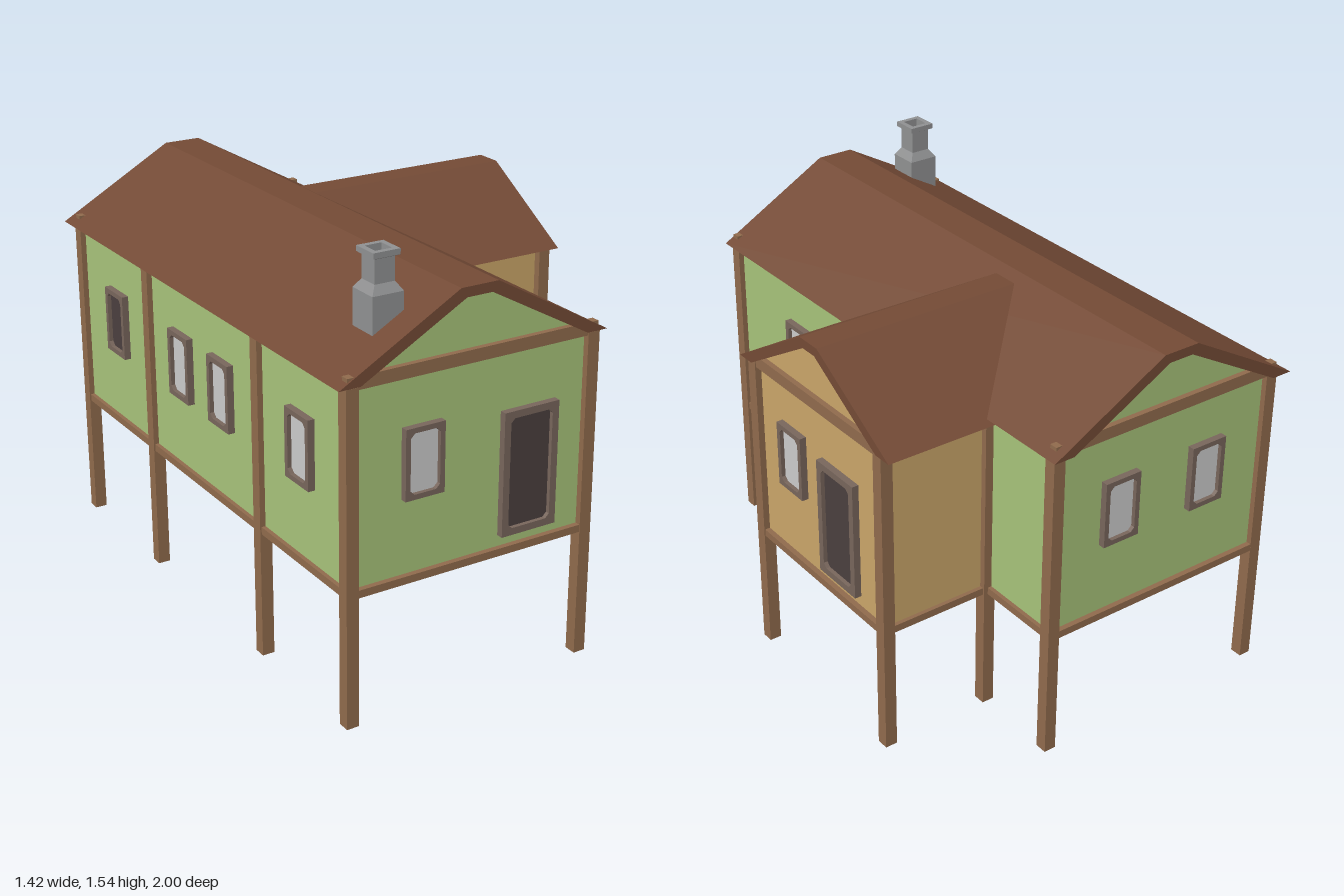
import * as THREE from 'three';

const mat = (name, color) => {
  const m = new THREE.MeshStandardMaterial({ color });
  m.name = name;
  return m;
};

export function createModel() {
  const green = mat('greenWall', 0xa6c279);
  const tan = mat('tanWall', 0xc9a568);
  const wood = mat('timber', 0x8f6a4c);
  const roofBrown = mat('roofBrown', 0x734a35);
  const frameBrown = mat('frameBrown', 0x77655b);
  const glass = mat('paleGlass', 0xcacaca);
  const dark = mat('darkPanel', 0x4a3f3e);
  const stone = mat('chimneyGrey', 0x8f9091);

  const house = new THREE.Group();
  house.name = 'stiltHouse';

  const add = (parent, name, geo, material, x = 0, y = 0, z = 0) => {
    const m = new THREE.Mesh(geo, material);
    m.name = name;
    m.position.set(x, y, z);
    parent.add(m);
    return m;
  };
  // box given by its minimum and maximum corners
  const box = (parent, name, material, [x0, x1], [y0, y1], [z0, z1]) =>
    add(parent, name, new THREE.BoxGeometry(x1 - x0, y1 - y0, z1 - z0), material,
      (x0 + x1) / 2, (y0 + y1) / 2, (z0 + z1) / 2);
  const shape = (pts) => new THREE.Shape(pts.map(([x, y]) => new THREE.Vector2(x, y)));
  // closed profile mirrored across x = 0, from right-hand points listed bottom to top
  const mirrored = (pts) => shape([...pts, ...[...pts].reverse().map(([x, y]) => [-x, y])]);
  const extrude = (s, depth) => new THREE.ExtrudeGeometry(s, { depth, bevelEnabled: false });

  // A gabled block running along its local z: walls, roof, floor and end trim
  function block(name, wallMat, o) {
    const g = new THREE.Group();
    g.name = name;
    const { half, eave, ridge, over, top, inner, back, front, roofBack, roofFront, ends, sideBeams } = o;
    const walls = mirrored([[half, 0.47], [half, eave + 0.004], [top * 0.85, ridge - 0.016]]);
    add(g, 'walls', extrude(walls, front - back), wallMat, 0, 0, back);
    // clipped-ridge roof shell with thick fascia
    const roof = shape([
      [over, eave], [top, ridge], [-top, ridge], [-over, eave], [-inner, eave],
      [-top * 0.68, ridge - 0.034], [top * 0.68, ridge - 0.034], [inner, eave],
    ]);
    add(g, 'roof', extrude(roof, roofFront - roofBack), roofBrown, 0, 0, roofBack);
    box(g, 'floor', wood, [-half, half], [0.464, 0.474], [back, front]);
    // beams across each visible gable end
    for (const [z, s] of ends) {
      const zs = [Math.min(z - 0.01 * s, z + 0.02 * s), Math.max(z - 0.01 * s, z + 0.02 * s)];
      box(g, 'floorBeam', wood, [-half, half], [0.463, 0.49], zs);
      box(g, 'gableBeam', wood, [-half - 0.015, half + 0.015], [eave - 0.012, eave + 0.032], zs);
    }
    // beams along the sides
    for (const [s, z0, z1] of sideBeams) {
      box(g, 'sideBeam', wood, [s * half - 0.015, s * half + 0.015], [0.463, 0.49], [z0, z1]);
    }
    house.add(g);
    return g;
  }

  const main = block('mainHouse', green, {
    half: 0.46, eave: 1.18, ridge: 1.425, over: 0.508, top: 0.07, inner: 0.43,
    back: -0.945, front: 0.973, roofBack: -1, roofFront: 0.999,
    ends: [[0.973, 1], [-0.945, -1]],
    sideBeams: [[-1, -0.94, 0.97], [1, 0.15, 0.97], [1, -0.94, -0.6]],
  });
  main.position.x = -0.2;

  const wing = block('sideWing', tan, {
    half: 0.375, eave: 1.165, ridge: 1.402, over: 0.448, top: 0.05, inner: 0.375,
    back: 0.1, front: 0.682, roofBack: -0.098, roofFront: 0.71,
    ends: [[0.682, 1]],
    sideBeams: [[-1, 0.27, 0.68], [1, 0.27, 0.68]],
  });
  wing.position.z = -0.23;
  wing.rotation.y = Math.PI / 2;

  // stilts that continue up the walls as corner posts
  const posts = [
    [-0.658, 0.973], [-0.658, 0.422], [-0.658, -0.378], [-0.658, -0.943],
    [0.258, 0.973], [0.258, -0.943],
    [0.268, 0.15], [0.268, -0.605], [0.683, 0.15], [0.683, -0.605],
  ];
  for (const [x, z] of posts) {
    add(house, 'post', new THREE.BoxGeometry(0.045, 1.178, 0.045), wood, x, 0.589, z);
  }

  // framed window or door, standing out from the wall along local +z
  function opening(name, w, h, rim, panel, x, y, z, angle) {
    const g = new THREE.Group();
    g.name = name;
    const a = w / 2, b = h / 2, c = a - rim, d = b - rim, k = 0.015;
    const s = shape([[-a, -b], [a, -b], [a, b], [-a, b]]);
    s.holes.push(shape([[-c + k, -d], [-c, -d + k], [-c, d - k], [-c + k, d],
      [c - k, d], [c, d - k], [c, -d + k], [c - k, -d]]));
    add(g, 'frame', extrude(s, 0.03), frameBrown, 0, 0, -0.005);
    add(g, 'pane', new THREE.BoxGeometry(w - rim, h - rim, 0.008), panel, 0, 0, 0.006);
    g.position.set(x, y, z);
    g.rotation.y = angle;
    house.add(g);
  }
  const windowAt = (x, z, angle, panel = glass) =>
    opening('window', 0.147, 0.245, 0.018, panel, x, 0.877, z, angle);
  const doorAt = (x, z, angle) =>
    opening('door', 0.215, 0.44, 0.025, dark, x, 0.75, z, angle);

  const R = Math.PI / 2;
  windowAt(-0.392, 0.973, 0);
  doorAt(0.018, 0.973, 0);
  windowAt(0.26, 0.547, R);
  windowAt(0.682, -0.073, R);
  doorAt(0.682, -0.353, R);
  for (const x of [-0.012, -0.388]) windowAt(x, -0.945, 2 * R);
  for (const z of [-0.124, 0.17, 0.7]) windowAt(-0.66, z, -R);
  windowAt(-0.66, -0.638, -R, dark);

  // square chimney with stepped shoulder and hollow cap
  const profile = [[0.057, 1.2], [0.057, 1.41], [0.037, 1.44], [0.037, 1.52], [0.049, 1.526],
    [0.049, 1.545], [0.03, 1.545], [0.03, 1.5]];
  const stack = new THREE.LatheGeometry(
    profile.map(([r, y]) => new THREE.Vector2(r * Math.SQRT2, y)), 4, Math.PI / 4).toNonIndexed();
  stack.computeVertexNormals();
  add(house, 'chimney', stack, stone, -0.464, 0, 0.833);
  add(house, 'flue', new THREE.BoxGeometry(0.062, 0.008, 0.062), dark, -0.464, 1.512, 0.833);

  return house;
}
